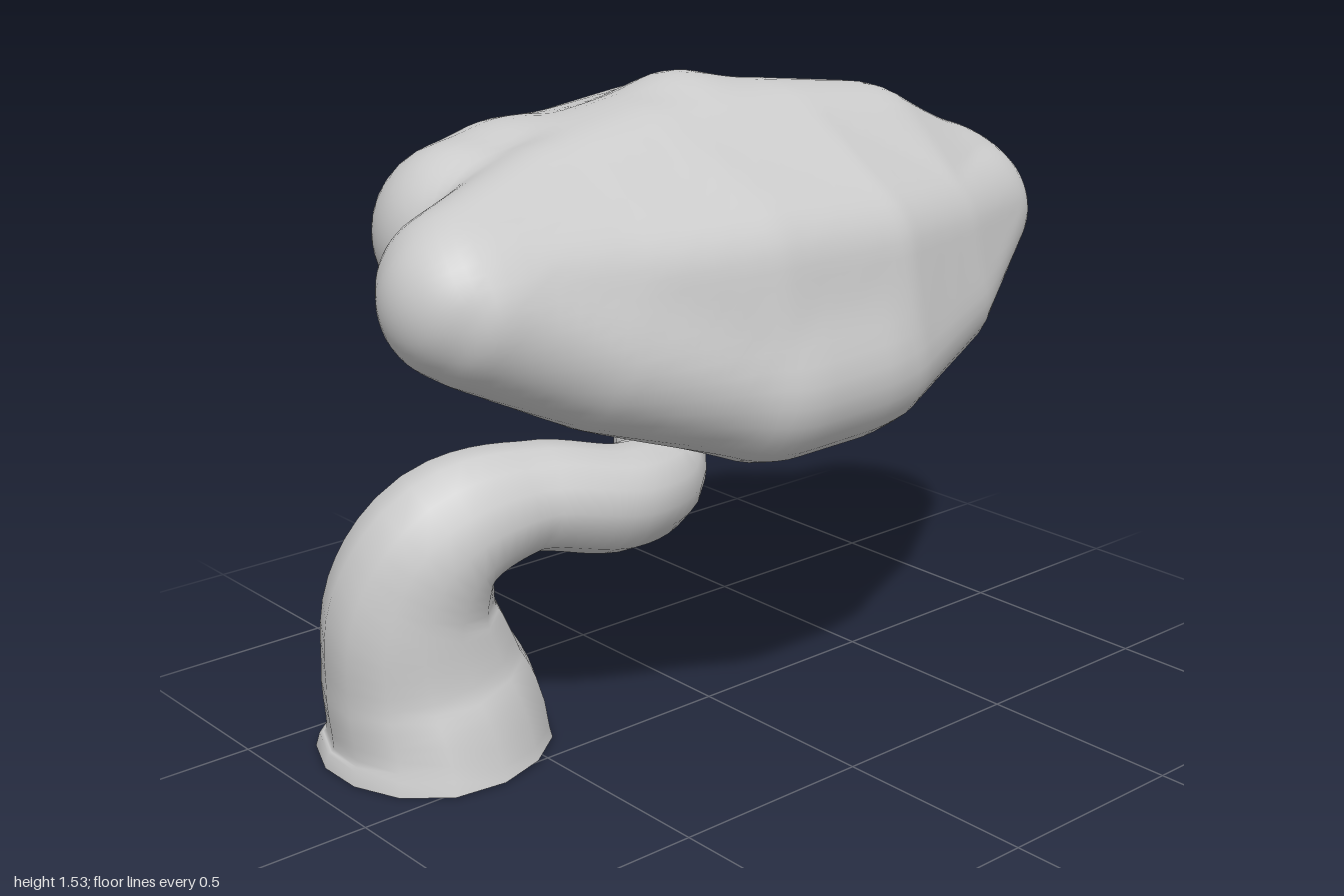
import * as THREE from 'three';
import { mergeVertices } from 'three/addons/utils/BufferGeometryUtils.js';

const material = new THREE.MeshStandardMaterial({ color: 0xcccccc, side: THREE.DoubleSide });
const vec = a => new THREE.Vector3(...a);

// Tapering limb: each point is [x, y, z, radius]
function limb(name, points, sides, rings, wobble = 0) {
  const curve = new THREE.CatmullRomCurve3(points.map(p => vec(p.slice(0, 3))));
  const frames = curve.computeFrenetFrames(rings);
  const pos = [], index = [];
  for (let i = 0; i <= rings; i++) {
    const t = curve.getUtoTmapping(i / rings) * (points.length - 1);
    const k = Math.min(Math.floor(t), points.length - 2);
    const radius = THREE.MathUtils.lerp(points[k][3], points[k + 1][3], t - k);
    const centre = curve.getPointAt(i / rings);
    for (let j = 0; j < sides; j++) {
      const a = (j / sides) * Math.PI * 2;
      const r = radius * (1 + wobble * Math.sin(3 * a + i * 0.25));
      const v = centre.clone()
        .addScaledVector(frames.normals[i], Math.cos(a) * r)
        .addScaledVector(frames.binormals[i], Math.sin(a) * r);
      pos.push(v.x, Math.max(0, v.y), v.z);
      if (i < rings) {
        const b = i * sides + j, c = i * sides + (j + 1) % sides;
        index.push(b, c, b + sides, c, c + sides, b + sides);
      }
    }
  }
  const geometry = new THREE.BufferGeometry();
  geometry.setAttribute('position', new THREE.Float32BufferAttribute(pos, 3));
  geometry.setIndex(index);
  geometry.computeVertexNormals();
  const mesh = new THREE.Mesh(geometry, material);
  mesh.name = name;
  return mesh;
}

// Rounded lobes behind the front face, as capsules: [start, end, radius]
const lobes = [
  [[-0.1, 0.91, 0.32], [0.1, 0.91, 0.31], 0.17],      // low front
  [[0.6, 1.13, -0.01], [0.77, 1.13, -0.02], 0.195],   // right end
  [[-0.35, 1.29, -0.08], [0.0, 1.34, -0.11], 0.18],   // crown
  [[0.0, 1.34, -0.11], [0.46, 1.28, -0.05], 0.18],
  [[-0.58, 1.24, -0.15], [-0.42, 1.25, -0.2], 0.2],   // long back lobe
  [[-0.42, 1.25, -0.2], [0.06, 1.28, -0.295], 0.195],
  [[0.25, 1.15, -0.2], [0.46, 1.13, -0.19], 0.205],   // low back lobe
  [[-0.42, 1.16, 0.06], [0.5, 1.13, 0.0], 0.22],      // core
  [[-0.25, 1.08, 0.04], [0.3, 1.08, -0.04], 0.215],
  [[-0.3, 1.17, -0.1], [0.25, 1.17, -0.16], 0.2],
].map(([a, b, r]) => ({ line: new THREE.Line3(vec(a), vec(b)), r }));

// Broad sloping front face: a rounded sheet through three rows of points
const faceRadius = 0.17;
const faceRows = [
  [[-0.81, 1.21, 0.16], [-0.5, 1.28, 0.05], [-0.2, 1.32, 0.01], [0.2, 1.32, 0.0], [0.5, 1.28, 0.0], [0.77, 1.15, -0.02]],
  [[-0.83, 1.2, 0.19], [-0.5, 1.18, 0.22], [-0.15, 1.17, 0.265], [0.2, 1.15, 0.26], [0.5, 1.13, 0.17], [0.83, 1.12, 0.01]],
  [[-0.8, 1.18, 0.21], [-0.54, 1.05, 0.26], [-0.17, 0.92, 0.31], [0.2, 0.91, 0.3], [0.52, 0.98, 0.19], [0.8, 1.12, 0.05]],
].map(row => row.map(vec));
const faceSheet = [];
for (let r = 0; r < 2; r++) {
  for (let c = 0; c < 5; c++) {
    const [a, b] = [faceRows[r], faceRows[r + 1]];
    faceSheet.push(new THREE.Triangle(a[c], b[c], b[c + 1]), new THREE.Triangle(a[c], b[c + 1], a[c + 1]));
  }
}

const nearest = new THREE.Vector3();

// Smoothly blended distance to the face and all lobes
function foliageDistance(p) {
  const blend = 0.02;
  let face = Infinity;
  for (const triangle of faceSheet) {
    triangle.closestPointToPoint(p, nearest);
    face = Math.min(face, p.distanceTo(nearest) - faceRadius);
  }
  let sum = Math.exp(-face / blend);
  for (const { line, r } of lobes) {
    line.closestPointToPoint(p, true, nearest);
    sum += Math.exp(-(p.distanceTo(nearest) - r) / blend);
  }
  return -blend * Math.log(sum);
}

// Sphere shrunk along its rays onto the blended lobes
function foliage() {
  let geometry = new THREE.SphereGeometry(1, 72, 90);
  geometry.rotateZ(-Math.PI / 2);
  geometry.deleteAttribute('uv');
  geometry.deleteAttribute('normal');
  geometry = mergeVertices(geometry, 1e-5);
  const position = geometry.attributes.position;
  const centre = vec([0, 1.13, 0.04]);
  const spread = vec([1, 0.45, 0.5]);
  const dir = new THREE.Vector3(), p = new THREE.Vector3();
  for (let i = 0; i < position.count; i++) {
    dir.fromBufferAttribute(position, i).multiply(spread).normalize();
    let t = 1.25;
    for (let step = 0; step < 80; step++) {
      p.copy(centre).addScaledVector(dir, t);
      const d = foliageDistance(p);
      if (d < 0.0005) break;
      t -= d * 0.95;
    }
    position.setXYZ(i, p.x, p.y, p.z);
  }
  geometry.computeVertexNormals();
  const mesh = new THREE.Mesh(geometry, material);
  mesh.name = 'foliage';
  return mesh;
}

export function createModel() {
  const tree = new THREE.Group();
  tree.name = 'bonsaiTree';

  // Open-bottomed trunk that bends sideways, then curls up under the foliage
  tree.add(limb('trunk', [
    [-0.65, 0, -0.237, 0.278],
    [-0.652, 0.07, -0.238, 0.262],
    [-0.68, 0.2, -0.25, 0.235],
    [-0.71, 0.4, -0.225, 0.195],
    [-0.65, 0.55, -0.17, 0.165],
    [-0.45, 0.595, -0.13, 0.13],
    [-0.2, 0.55, -0.09, 0.13],
    [-0.03, 0.56, -0.15, 0.12],
    [0.01, 0.66, -0.2, 0.105],
    [-0.01, 0.77, -0.15, 0.095],
    [-0.04, 0.84, -0.02, 0.085],
    [-0.06, 0.93, 0.12, 0.08],
  ], 14, 52, 0.025));

  // Branch hugging the underside of the foliage
  tree.add(limb('underBranch', [
    [-0.02, 0.8, -0.1, 0.065],
    [-0.2, 0.85, -0.03, 0.06],
    [-0.4, 0.9, 0.02, 0.05],
    [-0.55, 0.95, 0.04, 0.045],
    [-0.6, 1.02, 0.08, 0.035],
    [-0.57, 1.1, 0.12, 0.02],
  ], 10, 24));

  // Small pointed twig behind the curl
  tree.add(limb('twig', [
    [-0.04, 0.78, -0.13, 0.035],
    [-0.09, 0.83, -0.21, 0.028],
    [-0.13, 0.88, -0.26, 0.018],
    [-0.14, 0.95, -0.285, 0.002],
  ], 8, 12));

  tree.add(foliage());
  return tree;
}
